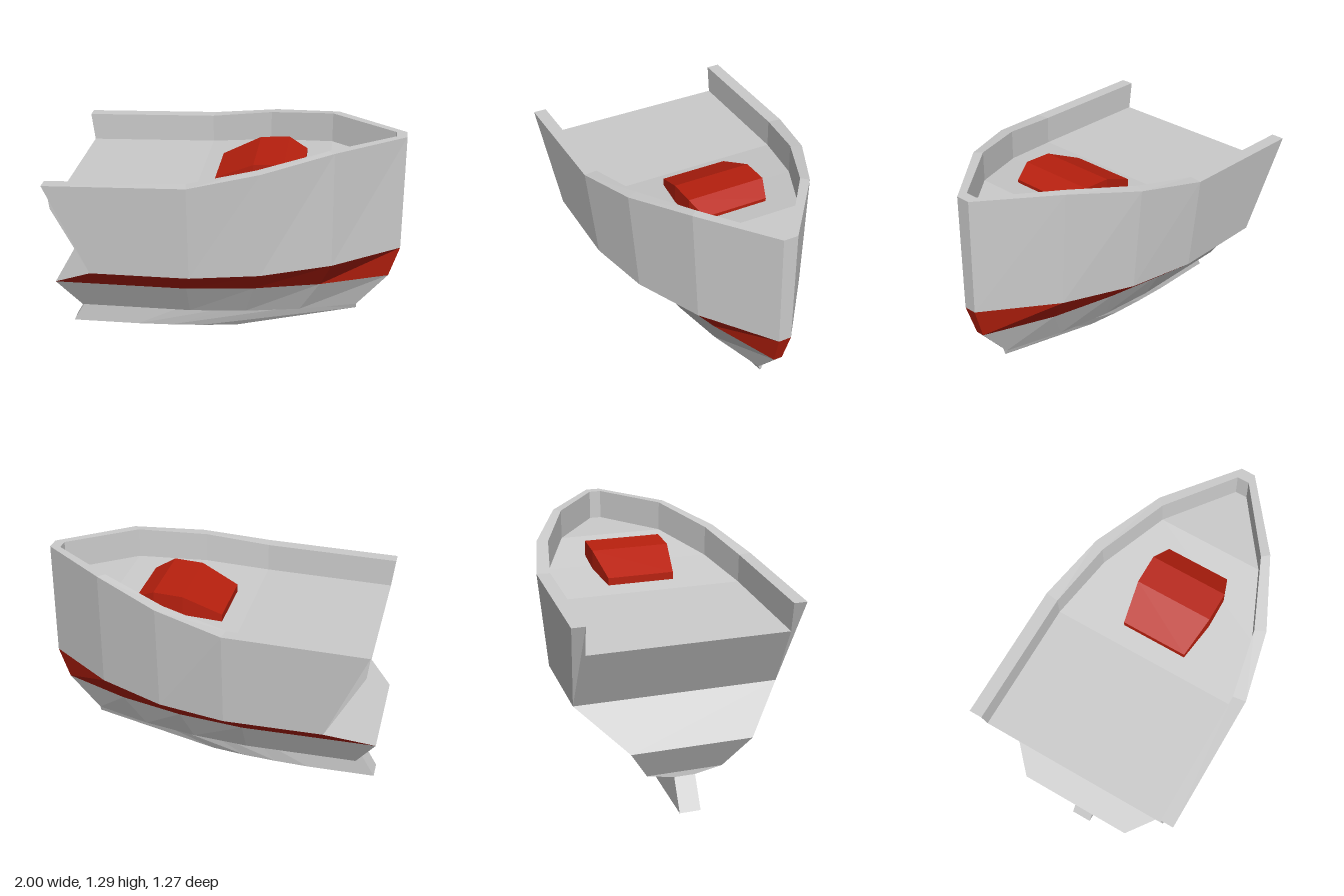
import * as THREE from 'three';

// Closed outline from half-stations [x, y, z]: +z side stern to bow, then -z side back to the stern
const outline = (stations) => [
  ...stations,
  ...stations.map(([x, y, z]) => [x, y, -z]).reverse(),
];

const quad = (a, b, c, d) => [a, b, c, a, c, d];

// Band of faces between two outlines; closed = include the stern face
function band(lower, upper, closed = true) {
  const n = lower.length, out = [];
  for (let i = 0; i < n; i++) {
    if (!closed && i === n - 1) continue;
    const j = (i + 1) % n;
    out.push(...quad(lower[i], lower[j], upper[j], upper[i]));
  }
  return out;
}

// Face strip across the inside of an outline
function cap(loop, up = true) {
  const n = loop.length, out = [];
  for (let i = 0; i < n / 2 - 1; i++) {
    const q = [loop[i], loop[i + 1], loop[n - 2 - i], loop[n - 1 - i]];
    out.push(...quad(...(up ? q : q.reverse())));
  }
  return out;
}

function part(name, points, material) {
  const geometry = new THREE.BufferGeometry();
  geometry.setAttribute('position', new THREE.Float32BufferAttribute(points.flat(), 3));
  geometry.computeVertexNormals();
  const mesh = new THREE.Mesh(geometry, material);
  mesh.name = name;
  return mesh;
}

export function createModel() {
  const group = new THREE.Group();
  group.name = 'boat';
  const grey = new THREE.MeshStandardMaterial({ color: 0xcccccc, flatShading: true });
  const red = new THREE.MeshStandardMaterial({ color: 0xb8200e, flatShading: true });

  // Hull level: same five stations, stretched from stern x to bow x
  const along = [0, 0.4, 0.6, 0.795, 1];
  const level = (y, x0, x1, widths) =>
    outline(widths.map((z, i) => [x0 + (x1 - x0) * along[i], y, z]));

  const keelBase = level(0, -0.98, 0.03, [0.06, 0.06, 0.05, 0.033, 0.003]);
  const keelTop = level(0.17, -0.88, 0.76, [0.06, 0.06, 0.05, 0.033, 0.003]);
  const bilge = level(0.2, -0.88, 0.76, [0.215, 0.215, 0.183, 0.12, 0.014]);
  const chine = level(0.41, -1.0, 0.94, [0.34, 0.34, 0.29, 0.19, 0.025]);
  const waist = outline([
    [-0.73, 0.6, 0.58], [-0.17, 0.6, 0.58], [0.22, 0.6, 0.5], [0.61, 0.6, 0.325], [1, 0.6, 0.037]]);
  const rim = outline([
    [-0.96, 1.14, 0.635], [-0.17, 1.16, 0.635], [0.22, 1.225, 0.545], [0.605, 1.29, 0.355], [1, 1.29, 0.042]]);
  const rimInner = outline([
    [-0.96, 1.14, 0.56], [-0.18, 1.16, 0.56], [0.19, 1.225, 0.485], [0.57, 1.29, 0.315], [0.94, 1.29, 0.035]]);
  const deck = rimInner.map(([x, y, z]) => [Math.max(x, -0.94), y - (x < 0 ? 0.165 : 0.175), z]);

  // Keel fin
  group.add(part('keel', [...band(keelBase, keelTop), ...cap(keelBase, false)], grey));

  // Lower hull: shallow bottom and flared sides
  group.add(part('lowerHull', [...band(keelTop, bilge), ...band(bilge, chine)], grey));

  // Coloured stripe and the grey stern ledge that closes it
  group.add(part('stripe', band(chine, waist, false), red));
  group.add(part('sternLedge', quad(chine[9], chine[0], waist[0], waist[9]), grey));

  // Topsides, raked transom and open bulwark ends
  group.add(part('topsides', band(waist, rim, false), grey));
  group.add(part('transom', [
    ...quad(waist[9], waist[0], deck[0], deck[9]),
    ...quad(waist[0], rim[0], rimInner[0], deck[0]),
    ...quad(waist[9], deck[9], rimInner[9], rim[9]),
  ], grey));

  // Bulwark rail, inner wall and deck
  group.add(part('bulwark', [...band(rim, rimInner, false), ...band(rimInner, deck, false)], grey));
  group.add(part('deck', cap(deck), grey));

  // Humped hatch on the deck
  const hatchTop = outline([
    [-0.07, 1.055, 0.195], [0.15, 1.155, 0.23], [0.32, 1.165, 0.23], [0.43, 1.11, 0.19]]);
  const hatchBase = hatchTop.map(([x, , z]) => [x, 0.98 + 0.15 * x, z]);
  group.add(part('hatch', [...band(hatchBase, hatchTop), ...cap(hatchTop), ...cap(hatchBase, false)], red));

  return group;
}
